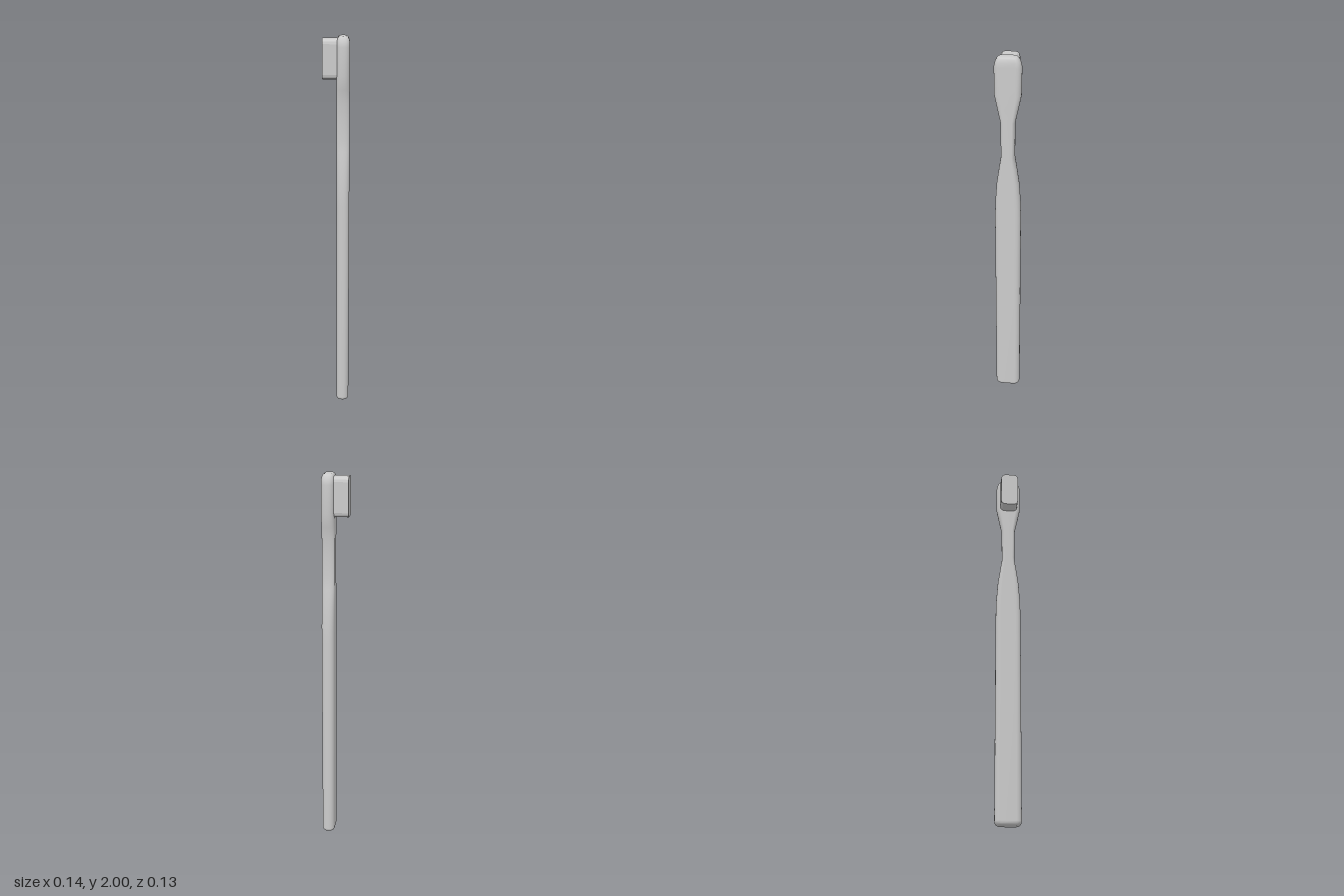
import * as THREE from 'three';

const material = new THREE.MeshStandardMaterial({ color: 0xcccccc });

// Handle stations: height, half width (z), half thickness (x)
const STATIONS = [
  [0, 0.05, 0.02], [0.004, 0.058, 0.027], [0.011, 0.064, 0.032], [0.022, 0.067, 0.033],
  [0.6, 0.067, 0.033], [1.13, 0.067, 0.033], [1.22, 0.065, 0.033], [1.33, 0.057, 0.033],
  [1.42, 0.044, 0.033], [1.485, 0.034, 0.033], [1.58, 0.036, 0.033], [1.67, 0.037, 0.033],
  [1.74, 0.052, 0.033], [1.81, 0.066, 0.033], [1.95, 0.067, 0.033],
  [1.975, 0.061, 0.032], [1.99, 0.053, 0.028], [1.997, 0.047, 0.024], [2, 0.04, 0.018],
];

// Unit rounded rectangle; corner radii differ along x and z
function sectionPoints(rx, rz, steps) {
  const points = [];
  for (let q = 0; q < 4; q++) {
    const sx = q === 0 || q === 3 ? 1 : -1;
    const sz = q < 2 ? 1 : -1;
    for (let k = 0; k <= steps; k++) {
      const a = (q + k / steps) * Math.PI / 2;
      points.push([sx * (1 - rx) + rx * Math.cos(a), sz * (1 - rz) + rz * Math.sin(a)]);
    }
  }
  return points;
}

// Smooth closed loft through the stations
function loftHandle() {
  const section = sectionPoints(0.84, 0.42, 5);
  const n = section.length;
  const positions = [], index = [];
  for (const [y, hz, hx] of STATIONS) {
    for (const [x, z] of section) positions.push(0.034 + x * hx, y, z * hz);
  }
  for (let i = 0; i < STATIONS.length - 1; i++) {
    for (let j = 0; j < n; j++) {
      const a = i * n + j, b = i * n + (j + 1) % n;
      index.push(a, a + n, b, b, a + n, b + n);
    }
  }
  // End caps
  const bottom = positions.length / 3, last = (STATIONS.length - 1) * n;
  positions.push(0.034, 0, 0, 0.034, 2, 0);
  for (let j = 0; j < n; j++) {
    const k = (j + 1) % n;
    index.push(bottom, j, k, bottom + 1, last + k, last + j);
  }
  const geometry = new THREE.BufferGeometry();
  geometry.setAttribute('position', new THREE.Float32BufferAttribute(positions, 3));
  geometry.setIndex(index);
  geometry.computeVertexNormals();
  return geometry;
}

// Block of bristles with rounded corners, extruded out of the head along -x
function bristleBlock() {
  const outline = sectionPoints(0.5, 0.24, 3)
    .map(([z, y]) => new THREE.Vector2(z * 0.047, 1.888 + y * 0.099));
  const geometry = new THREE.ExtrudeGeometry(new THREE.Shape(outline), { depth: 0.08, bevelEnabled: false });
  geometry.rotateY(-Math.PI / 2);
  geometry.translate(0.01, 0, 0);
  return geometry;
}

export function createModel() {
  const model = new THREE.Group();
  model.name = 'toothbrush';
  const handle = new THREE.Mesh(loftHandle(), material);
  handle.name = 'handle';
  const bristles = new THREE.Mesh(bristleBlock(), material);
  bristles.name = 'bristles';
  model.add(handle, bristles);
  return model;
}
